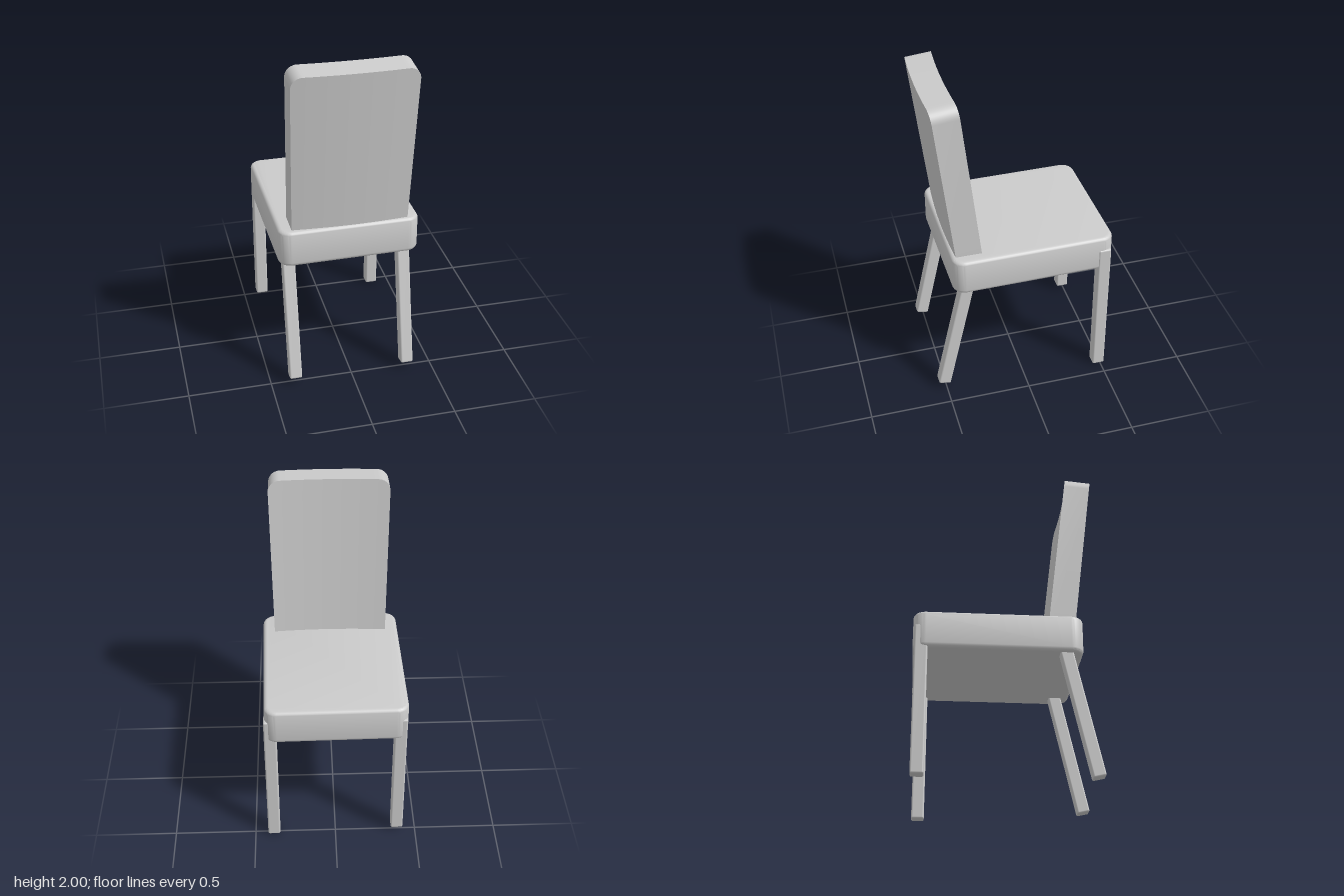
import * as THREE from 'three';
import { toCreasedNormals } from 'three/addons/utils/BufferGeometryUtils.js';
import { RoundedBoxGeometry } from 'three/addons/geometries/RoundedBoxGeometry.js';

const material = new THREE.MeshStandardMaterial({ color: 0xcccccc });

function part(name, geometry, x, y, z) {
  const mesh = new THREE.Mesh(geometry, material);
  mesh.name = name;
  mesh.position.set(x, y, z);
  return mesh;
}

// Cushion: rounded plan outline, extruded upwards with a soft bevel
function seatGeometry(w, d, h, r, bevel) {
  const a = w / 2 - bevel, b = d / 2 - bevel, c = r - bevel;
  const s = new THREE.Shape();
  s.moveTo(-a + c, -b);
  s.lineTo(a - c, -b).absarc(a - c, -b + c, c, -Math.PI / 2, 0);
  s.lineTo(a, b - c).absarc(a - c, b - c, c, 0, Math.PI / 2);
  s.lineTo(-a + c, b).absarc(-a + c, b - c, c, Math.PI / 2, Math.PI);
  s.lineTo(-a, -b + c).absarc(-a + c, -b + c, c, Math.PI, Math.PI * 1.5);
  const g = new THREE.ExtrudeGeometry(s, {
    depth: h - 2 * bevel, bevelThickness: bevel, bevelSize: bevel, bevelSegments: 5, curveSegments: 8,
  });
  g.rotateX(-Math.PI / 2).translate(0, bevel, 0);
  return toCreasedNormals(g, 0.6);
}

// Backrest: a box whose upper corners are rounded, leaned back and bowed in plan
function backrestGeometry() {
  const rows = 10, bottom = 0.9, top = 1.995, r = 0.07, thick = 0.155, bow = 0.016;
  const g = new THREE.BoxGeometry(2, rows, 1, 16, rows, 1);
  const p = g.attributes.position;
  for (let i = 0; i < p.count; i++) {
    const row = Math.round(p.getY(i) + rows / 2);
    const a = Math.max(0, (row - 1) / (rows - 1)) * Math.PI / 2;
    const y = row === 0 ? bottom : top - r + r * Math.sin(a);
    const half = 0.345 + 0.015 * (y - bottom) - r * (1 - Math.cos(a));
    const x = p.getX(i) * half;
    const back = p.getZ(i);
    const z = 0.347 + back * thick + 0.118 * (y - 1) - bow * (x / 0.36) ** 2;
    p.setXYZ(i, x, y - 0.1 * back * thick, z);
  }
  return toCreasedNormals(g, 0.5);
}

function legGeometry(length) {
  return new RoundedBoxGeometry(0.075, length, 0.076, 2, 0.01);
}

export function createModel() {
  const group = new THREE.Group();

  const seat = part('seat', seatGeometry(0.845, 0.985, 0.225, 0.075, 0.025), 0, 0.78, -0.049);
  seat.rotation.y = 0.014;
  group.add(seat);

  group.add(part('backrest', backrestGeometry(), 0.008, 0, 0));

  for (const side of [-1, 1]) {
    // Upright leg, standing slightly proud of the seat corner
    const foot = side < 0 ? 0.03 : 0.0;
    const height = 0.92 - foot;
    group.add(part(side < 0 ? 'uprightLegRight' : 'uprightLegLeft', legGeometry(height),
      side * 0.384, foot + height / 2, -0.488));

    // Leg under the backrest, splayed outwards
    const leg = part(side < 0 ? 'splayedLegRight' : 'splayedLegLeft', legGeometry(0.86),
      side * 0.348 - 0.005, 0.462, 0.42);
    leg.rotation.x = -0.218;
    group.add(leg);
  }
  return group;
}
